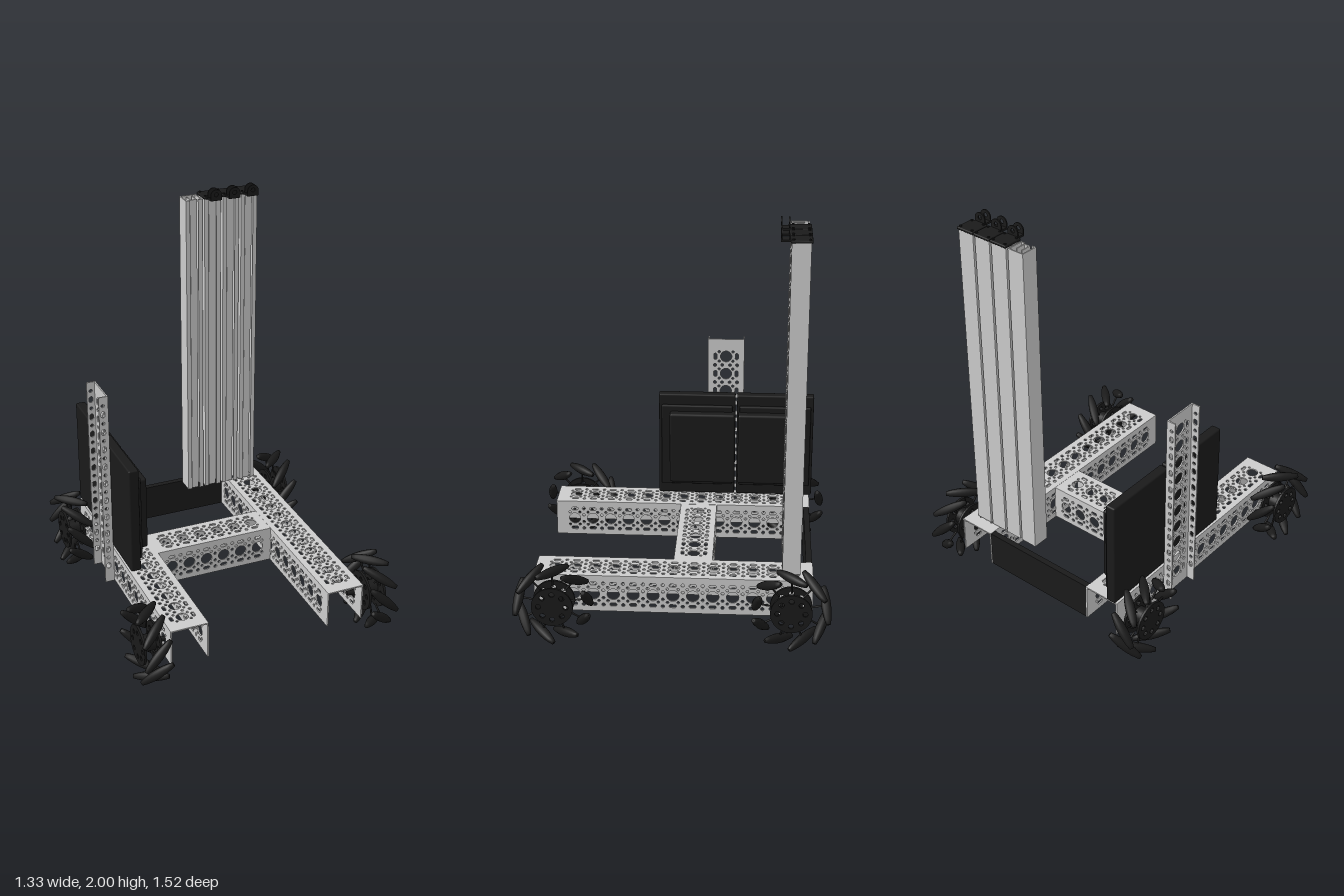
import * as THREE from 'three';
import { RoundedBoxGeometry } from 'three/addons/geometries/RoundedBoxGeometry.js';

const metal = new THREE.MeshStandardMaterial({ color: 0xcccccc });
const black = new THREE.MeshStandardMaterial({ color: 0x1a1a1a });
const PITCH = 0.096, SHEET = 0.007;

function add(parent, name, geo, mat, x = 0, y = 0, z = 0) {
  const m = new THREE.Mesh(geo, mat);
  m.name = name;
  m.position.set(x, y, z);
  parent.add(m);
  return m;
}

function rect(w, h, x = 0, y = 0) {
  return [[-1, -1], [1, -1], [1, 1], [-1, 1]].map(([a, b]) => new THREE.Vector2(x + a * w / 2, y + b * h / 2));
}

// Round hole, or a slot along x when stretch > 0
function hole(x, y, r, n, stretch = 0) {
  const pts = [];
  for (let i = 0; i < n; i++) {
    const a = (i + 0.5) / n * Math.PI * 2;
    pts.push(new THREE.Vector2(x + Math.cos(a) * r + Math.sign(Math.cos(a)) * stretch, y + Math.sin(a) * r));
  }
  return new THREE.Path(pts);
}

// Perforated sheet in the XY plane, centred, length along x
function sheet(len, wid) {
  const shape = new THREE.Shape(rect(len, wid));
  const count = Math.floor((len - 0.05) / PITCH);
  for (let i = 0; i < count; i++) {
    const x = (i - (count - 1) / 2) * PITCH;
    if (wid < 0.1) {
      shape.holes.push(hole(x, 0, 0.011, 8, 0.006), hole(x + PITCH / 2, 0, 0.009, 8));
      continue;
    }
    shape.holes.push(hole(x, 0, 0.03, 16));
    for (const s of [-1, 1]) {
      shape.holes.push(hole(x, s * 0.056, 0.009, 8, 0.009));
      shape.holes.push(hole(x - 0.026, s * 0.036, 0.007, 8), hole(x + 0.026, s * 0.036, 0.007, 8));
      if (i < count - 1) shape.holes.push(hole(x + PITCH / 2, s * 0.058, 0.009, 8), hole(x + PITCH / 2, s * 0.02, 0.008, 8));
    }
  }
  const g = new THREE.ExtrudeGeometry(shape, { depth: SHEET, bevelEnabled: false });
  g.translate(0, 0, -SHEET / 2);
  return g;
}

// U channel: length along x, web on top at y = 0, flanges hanging down
function channel(name, len, wid, depth) {
  const g = new THREE.Group();
  g.name = name;
  add(g, 'channelWeb', sheet(len, wid), metal, 0, -SHEET / 2).rotation.x = -Math.PI / 2;
  const flange = sheet(len, depth - SHEET);
  for (const s of [-1, 1])
    add(g, 'channelFlange', flange, metal, 0, -SHEET - (depth - SHEET) / 2, s * (wid - SHEET) / 2);
  return g;
}

// Wheel with slanted barrel rollers, axle along x
function wheel(slant) {
  const g = new THREE.Group();
  g.name = 'rollerWheel';
  const R = 0.19, mid = 0.166, count = 9, profile = [];
  for (let i = 0; i <= 8; i++) {
    const u = -0.094 + i * 0.0235;
    profile.push(new THREE.Vector2(R - Math.hypot(mid, u * Math.SQRT1_2), u));
  }
  const barrel = new THREE.LatheGeometry([new THREE.Vector2(0, -0.094), ...profile, new THREE.Vector2(0, 0.094)], 10);
  const pin = new THREE.CylinderGeometry(0.005, 0.005, 0.07, 6);
  const up = new THREE.Vector3(0, 1, 0);
  for (let i = 0; i < count; i++) {
    const spoke = new THREE.Group();
    spoke.name = 'rollerArm';
    spoke.rotation.x = i / count * Math.PI * 2;
    add(spoke, 'roller', barrel, black, 0, mid, 0)
      .quaternion.setFromUnitVectors(up, new THREE.Vector3(1, 0, slant).normalize());
    add(spoke, 'rollerPin', pin, black, 0, 0.125, 0);
    g.add(spoke);
  }
  // Hub: two drilled discs on a core
  const disc = new THREE.Shape(hole(0, 0, 0.1, 36).getPoints());
  for (let i = 0; i < 8; i++) {
    const a = i / 8 * Math.PI * 2;
    disc.holes.push(hole(Math.cos(a) * 0.066, Math.sin(a) * 0.066, 0.013, 10));
  }
  const discGeo = new THREE.ExtrudeGeometry(disc, { depth: 0.012, bevelEnabled: false });
  discGeo.rotateY(Math.PI / 2);
  for (const x of [-0.046, 0.034]) add(g, 'hubDisc', discGeo, black, x);
  const core = new THREE.CylinderGeometry(0.042, 0.042, 0.09, 20);
  core.rotateZ(Math.PI / 2);
  add(g, 'hubCore', core, black);
  return g;
}

// Thin-walled slide rail with a slot in its front and a nested inner slider
function slideRail() {
  const a = 0.044, t = 0.006, lip = 0.022;
  const outer = new THREE.Shape([[-a, a], [-a, -a], [-lip, -a], [-lip, -a + t], [-a + t, -a + t], [-a + t, a - t],
    [a - t, a - t], [a - t, -a + t], [lip, -a + t], [lip, -a], [a, -a], [a, a]].map(p => new THREE.Vector2(...p)));
  const b = 0.018;
  const inner = new THREE.Shape([[-b, -0.036], [b, -0.036], [b, 0.02], [b - t, 0.02], [b - t, -0.03],
    [-b + t, -0.03], [-b + t, 0.02], [-b, 0.02]].map(p => new THREE.Vector2(...p)));
  const g = new THREE.ExtrudeGeometry([outer, inner], { depth: 1.64, bevelEnabled: false });
  g.rotateX(-Math.PI / 2);
  return g;
}

export function createModel() {
  const model = new THREE.Group();
  model.name = 'robotChassis';

  // Frame: two side rails, a cross channel and a back plate
  for (const x of [-0.413, 0.407]) {
    const rail = channel('sideRail', 1.345, 0.192, 0.192);
    rail.rotation.y = Math.PI / 2;
    rail.position.set(x, 0.297, 0);
    model.add(rail);
  }
  const cross = channel('crossChannel', 0.635, 0.19, 0.19);
  cross.position.set(-0.002, 0.296, -0.088);
  model.add(cross);
  add(model, 'backPlate', new THREE.BoxGeometry(0.63, 0.192, 0.03), black, -0.002, 0.2, -0.655);

  // Upright channel on the outside of one rail
  const upright = channel('uprightChannel', 1.055, 0.19, 0.048);
  upright.quaternion.setFromRotationMatrix(new THREE.Matrix4().makeBasis(
    new THREE.Vector3(0, 1, 0), new THREE.Vector3(1, 0, 0), new THREE.Vector3(0, 0, -1)));
  upright.position.set(-0.511, 0.632, -0.218);
  model.add(upright);

  // Wheels on short axles
  for (const sx of [-1, 1]) for (const sz of [-1, 1]) {
    const w = wheel(sx * sz);
    w.position.set(sx * 0.592, 0.192, sz * 0.568);
    model.add(w);
    const axle = new THREE.CylinderGeometry(0.012, 0.012, 0.12, 12);
    axle.rotateZ(Math.PI / 2);
    add(model, 'axle', axle, black, sx * 0.53, 0.192, sz * 0.568);
  }

  // Two panel units: base slab, raised body and cover
  const base = new RoundedBoxGeometry(0.052, 0.565, 0.403, 2, 0.008);
  const body = new RoundedBoxGeometry(0.07, 0.39, 0.345, 2, 0.012);
  const cover = new RoundedBoxGeometry(0.03, 0.45, 0.375, 2, 0.008);
  for (const [z, shift] of [[-0.482, 0.022], [-0.07, -0.03]]) {
    add(model, 'panelBase', base, black, -0.479, 0.586, z);
    add(model, 'panelCover', cover, black, -0.452, 0.586, z);
    add(model, 'panelBody', body, black, -0.427, 0.584, z + shift);
  }

  // Slide tower
  const rail = slideRail();
  for (let i = 0; i < 4; i++) add(model, 'slideRail', rail, metal, 0.108 + i * 0.1, 0.305, -0.567);

  // Pulley brackets capping three of the rails
  const tab = new THREE.Shape();
  tab.moveTo(-0.03, 0).lineTo(0.03, 0).lineTo(0.03, 0.022);
  tab.absarc(0, 0.022, 0.03, 0, Math.PI, false);
  tab.holes.push(hole(0, 0.026, 0.011, 12));
  const tabGeo = new THREE.ExtrudeGeometry(tab, { depth: 0.006, bevelEnabled: false });
  for (let i = 0; i < 3; i++) {
    const g = new THREE.Group();
    g.name = 'pulleyBracket';
    g.position.set(0.208 + i * 0.1, 1.948, 0);
    add(g, 'bracketPlate', new RoundedBoxGeometry(0.097, 0.014, 0.1, 2, 0.005), black, 0, 0, -0.568);
    add(g, 'bracketTongue', new THREE.BoxGeometry(0.06, 0.01, 0.045), black, 0, 0, -0.4985);
    for (const z of [-0.482, -0.518]) add(g, 'bracketTab', tabGeo, black, 0, 0, z);
    for (const x of [-0.036, 0.036]) for (const z of [-0.605, -0.532])
      add(g, 'bracketScrew', new THREE.CylinderGeometry(0.006, 0.006, 0.006, 8), black, x, 0.009, z);
    model.add(g);
  }
  return model;
}
